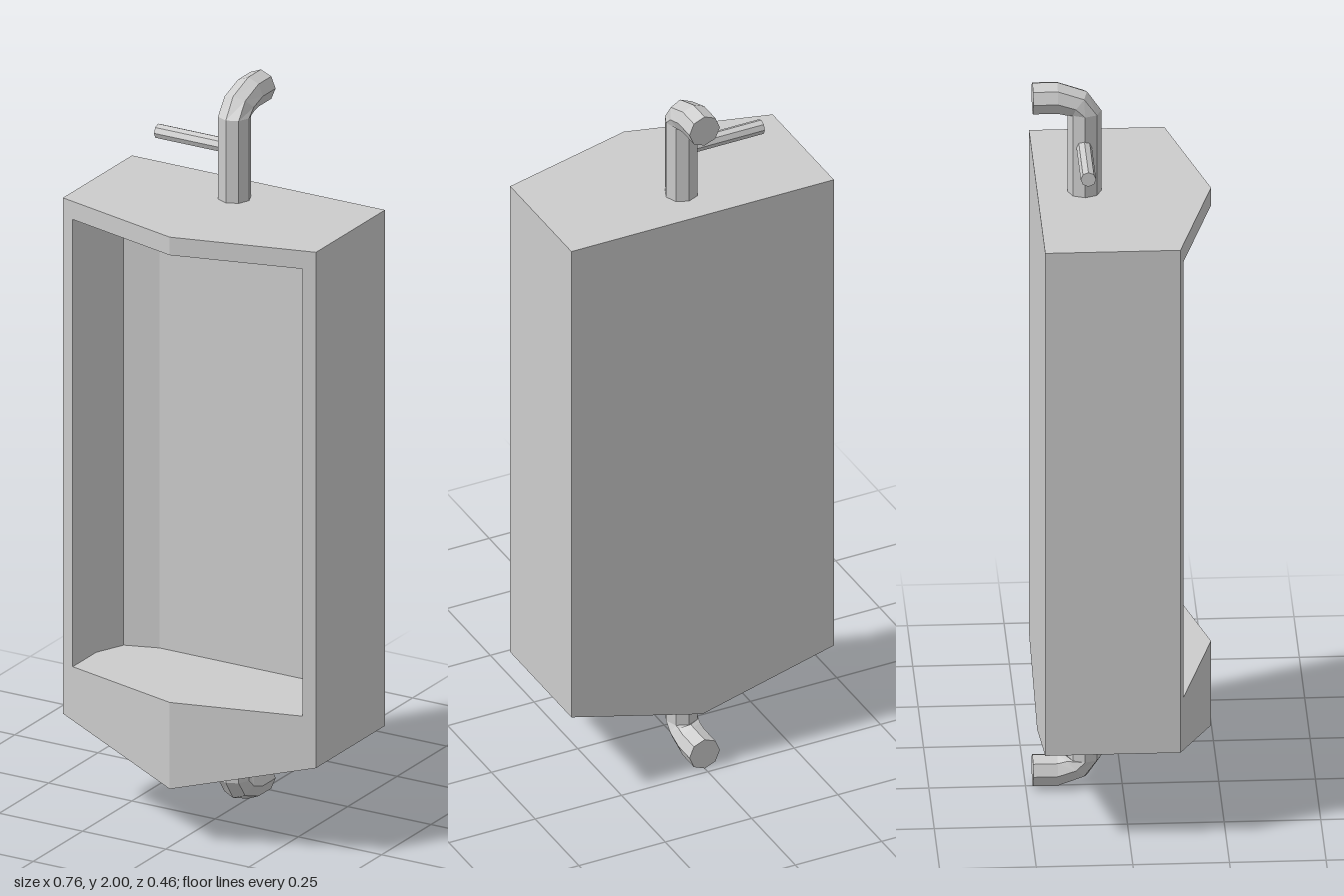
import * as THREE from 'three';

const W = 0.38, TOP = 1.69, BACK = -0.22;
const OPEN_W = 0.345, OPEN_LOW = 0.4, OPEN_HIGH = 1.64;

// depth of the V-shaped front and height of the V-shaped underside
const frontZ = (x) => 0.23 - (0.1 * x) / W;
const underY = (x) => 0.16 + (0.1 * x) / W;

// Flat convex faces for the half with x >= 0, mirrored to the other half
function mirroredFaces(faces) {
  const positions = [];
  for (const side of [1, -1]) {
    for (const face of faces) {
      const pts = face.map(([x, y, z]) => [x * side, y, z]);
      if (side < 0) pts.reverse();
      for (let i = 1; i < pts.length - 1; i++) positions.push(...pts[0], ...pts[i], ...pts[i + 1]);
    }
  }
  const geometry = new THREE.BufferGeometry();
  geometry.setAttribute('position', new THREE.Float32BufferAttribute(positions, 3));
  geometry.computeVertexNormals();
  return geometry;
}

function basinGeometry() {
  const front = (...pts) => pts.map(([x, y]) => [x, y, frontZ(x)]);
  const low = underY(W), tip = underY(0);
  const outline = [[0, frontZ(0)], [W, frontZ(W)], [W, BACK], [0, BACK]];
  // plan of the hollow, from the opening edge round to the middle of the back
  const hollow = [[OPEN_W, frontZ(OPEN_W)], [OPEN_W, 0.02], [0.31, -0.06], [0.22, -0.09], [0, -0.09]];
  const ledge = [[0, frontZ(0)], ...hollow];

  const faces = [
    // outer side, back, top and underside
    [[W, low, frontZ(W)], [W, low, BACK], [W, TOP, BACK], [W, TOP, frontZ(W)]],
    [[W, low, BACK], [0, tip, BACK], [0, TOP, BACK], [W, TOP, BACK]],
    outline.map(([x, z]) => [x, TOP, z]),
    outline.map(([x, z]) => [x, underY(x), z]).reverse(),
    // front rim: top strip, side strip and lower apron
    front([0, OPEN_HIGH], [OPEN_W, OPEN_HIGH], [W, TOP], [0, TOP]),
    front([OPEN_W, OPEN_LOW], [W, low], [W, TOP], [OPEN_W, OPEN_HIGH]),
    front([0, tip], [W, low], [OPEN_W, OPEN_LOW], [0, OPEN_LOW]),
    // floor and ceiling of the hollow
    ledge.map(([x, z]) => [x, OPEN_LOW, z]),
    ledge.map(([x, z]) => [x, OPEN_HIGH, z]).reverse(),
  ];
  // walls of the hollow
  for (let i = 0; i < hollow.length - 1; i++) {
    const [a, b] = [hollow[i], hollow[i + 1]];
    faces.push([
      [b[0], OPEN_LOW, b[1]], [a[0], OPEN_LOW, a[1]],
      [a[0], OPEN_HIGH, a[1]], [b[0], OPEN_HIGH, b[1]],
    ]);
  }
  return mirroredFaces(faces);
}

// Eight-sided pipe bent backwards: each ring of a cylinder is moved along a path
function elbowGeometry() {
  const rings = [ // y, z, tilt
    [1.68, -0.098, 0],
    [1.918, -0.098, 0],
    [1.941, -0.122, Math.PI / 4],
    [1.956, -0.168, Math.PI / 2],
    [1.956, -0.232, Math.PI / 2],
  ];
  const geometry = new THREE.CylinderGeometry(0.044, 0.044, 4, 8, 4);
  const p = geometry.attributes.position;
  for (let i = 0; i < p.count; i++) {
    const [y, z, tilt] = rings[Math.round(p.getY(i) + 2)];
    const d = p.getZ(i);
    p.setXYZ(i, p.getX(i), y + d * Math.sin(tilt), z + d * Math.cos(tilt));
  }
  geometry.computeVertexNormals();
  return geometry;
}

export function createModel() {
  const group = new THREE.Group();
  const material = new THREE.MeshStandardMaterial({ color: 0xcccccc, flatShading: true });
  material.name = 'light grey';

  const add = (name, geometry) => {
    const mesh = new THREE.Mesh(geometry, material);
    mesh.name = name;
    group.add(mesh);
    return mesh;
  };

  add('basin', basinGeometry());

  // supply pipe above, and the same pipe turned over as the drain
  const elbow = elbowGeometry();
  add('supplyPipe', elbow);
  const drain = add('drainPipe', elbow);
  drain.rotation.z = Math.PI;
  drain.position.y = 2;

  // flush lever
  const lever = add('flushLever', new THREE.CylinderGeometry(0.02, 0.02, 0.2, 8));
  lever.rotation.z = Math.PI / 2;
  lever.position.set(-0.131, 1.828, -0.1);

  return group;
}
